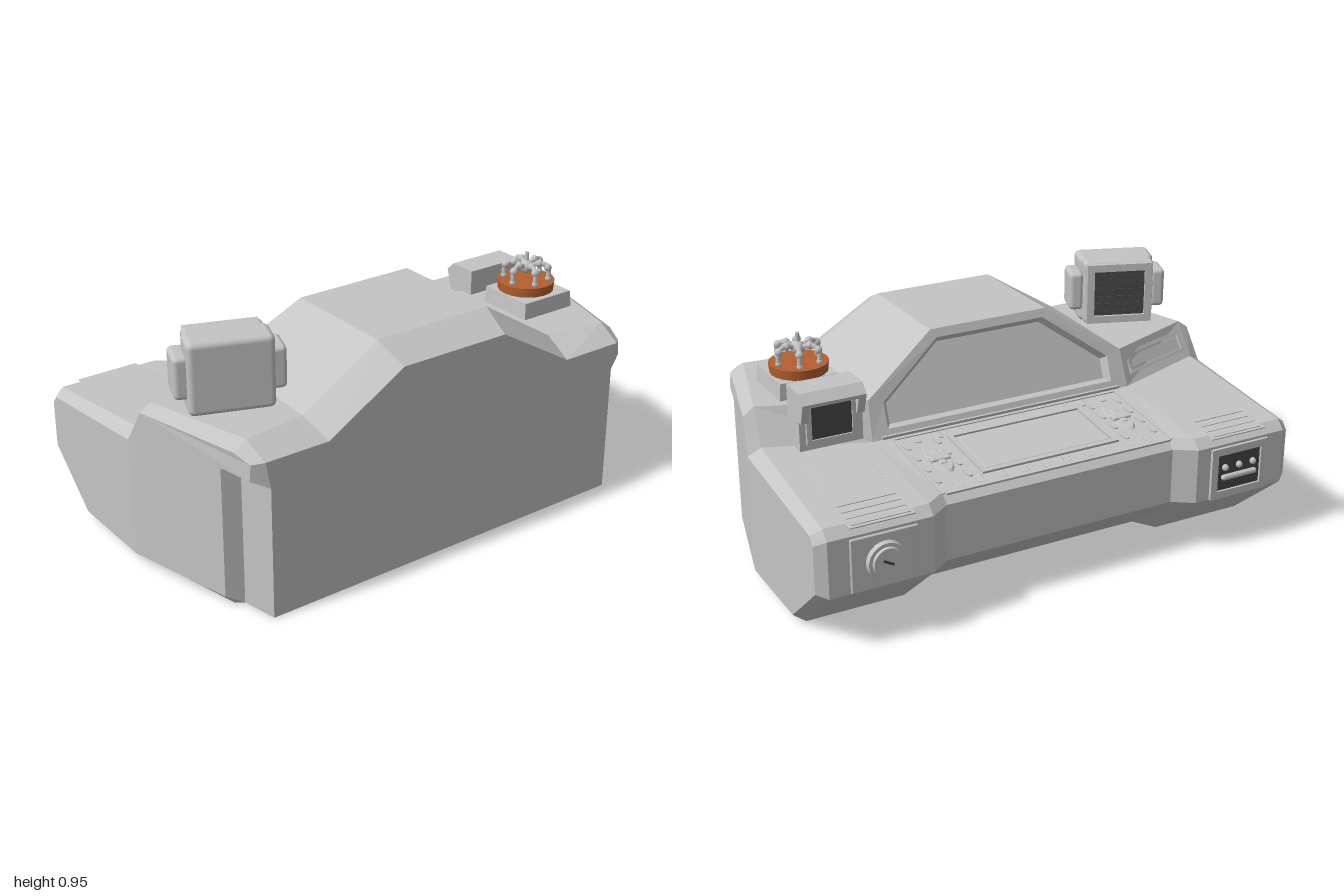
import * as THREE from 'three';
import { RoundedBoxGeometry } from 'three/addons/geometries/RoundedBoxGeometry.js';

const mat = (name, color, extra) => {
  const m = new THREE.MeshStandardMaterial({ color, ...extra });
  m.name = name;
  return m;
};

export function createModel() {
  const root = new THREE.Group();
  root.name = 'controlConsole';
  const grey = mat('hullGrey', 0xc4c4c4, { side: THREE.DoubleSide });
  const dark = mat('screenDark', 0x484848);
  const orange = mat('rustOrange', 0xb5602f);

  const add = (parent, name, geo, m, x = 0, y = 0, z = 0) => {
    const mesh = new THREE.Mesh(geo, m);
    mesh.name = name;
    mesh.position.set(x, y, z);
    parent.add(mesh);
    return mesh;
  };
  const group = (name, x = 0, y = 0, z = 0, parent = root) => {
    const g = new THREE.Group();
    g.name = name;
    g.position.set(x, y, z);
    parent.add(g);
    return g;
  };
  const box = (p, name, m, w, h, d, x, y, z) => add(p, name, new THREE.BoxGeometry(w, h, d), m, x, y, z);
  const soft = (p, name, m, w, h, d, r, x, y, z) => add(p, name, new RoundedBoxGeometry(w, h, d, 2, r), m, x, y, z);
  const outline = pts => pts.map(p => new THREE.Vector2(...p));
  // Rectangular ring, extruded along +z
  const rect = (w, h) => outline([[-w / 2, -h / 2], [w / 2, -h / 2], [w / 2, h / 2], [-w / 2, h / 2]]);
  const rectRing = (w, h, t, depth) => {
    const s = new THREE.Shape(rect(w, h));
    s.holes.push(new THREE.Path(rect(w - 2 * t, h - 2 * t)));
    return new THREE.ExtrudeGeometry(s, { depth, bevelEnabled: false });
  };
  // Side profile given as [-z, y], extruded across x and centred
  const sideProfile = (pts, width) => new THREE.ExtrudeGeometry(new THREE.Shape(outline(pts)), { depth: width, bevelEnabled: false })
    .translate(0, 0, -width / 2).rotateY(Math.PI / 2);

  // ---- Hull: mirrored flat panels, open underneath ----
  const tris = [];
  const center = new THREE.Vector3(0, 0.3, 0);
  const panel = (...pts) => {
    for (const s of [1, -1]) {
      const v = pts.map(p => new THREE.Vector3(p[0] * s, p[1], p[2]));
      for (let i = 1; i < v.length - 1; i++) {
        const t = [v[0], v[i], v[i + 1]];
        const n = t[1].clone().sub(t[0]).cross(t[2].clone().sub(t[0]));
        const mid = t[0].clone().add(t[1]).add(t[2]).divideScalar(3).sub(center);
        if (n.dot(mid) < 0) t.reverse();
        t.forEach(q => tris.push(q.x, q.y, q.z));
      }
    }
  };
  // Outer side edge (a) and inner chamfer edge (b), from the front corner to the lower back
  const a = [[.85, .61, .6], [.872, .635, .53], [.983, .64, .1], [1, .51, .03], [1, .45, -.54], [1, .42, -.565], [1, .235, -.565], [1, .04, -.34]];
  const b = [[.81, .62, .63], [.82, .67, .53], [.94, .67, .1], [.95, .54, .02], [.96, .475, -.56], [.96, .44, -.595], [.96, .22, -.595], [.95, 0, -.34]];
  for (let i = 0; i < 7; i++) panel(a[i], b[i], b[i + 1], a[i + 1]);
  // Desk, back wall and kick slope: columns from pod edge to the centre line
  const col = (x4, x, z, y0) => [[x4, .525, -.1], [x, .475, -.56 + z], [x, .44, -.595 + z], [x, .22, -.595 + z], [x, y0, -.34 + z]];
  const cols = [b.slice(3), col(.56, .56, 0, 0), col(.48, .48, .055, .02), col(0, 0, .055, .02)];
  for (let c = 0; c < 3; c++)
    for (let r = 0; r < 4; r++) panel(cols[c][r], cols[c][r + 1], cols[c + 1][r + 1], cols[c + 1][r]);
  // Shoulders and centre hump
  const sh = [.55, .67, -.05], h1 = [.55, .62, .63], h2 = [.57, .67, .5];
  const g1 = [.23, .81, .63], g2 = [.25, .87, .5], g3 = [.25, .87, .03];
  panel(b[2], sh, h2, b[1]);
  panel(b[1], h2, h1, b[0]);
  panel(b[2], b[3], cols[1][0], sh);
  panel(sh, h2, g2, g3);
  panel(h1, h2, g2, g1);
  panel(g1, g2, [0, .87, .5], [0, .81, .63]);
  panel(g2, g3, [0, .87, .03], [0, .87, .5]);
  // Main screen: bezel, sloped walls and recessed pane on the hump's rear slope
  const onSlope = ([x, v], d) => [x, .525 + v * .935 - d * .352, -.1 + v * .352 + d * .935];
  const rim = [[0, .035], [.49, .035], [.49, .135], [.23, .335], [0, .335]].map(p => onSlope(p, 0));
  const pane = [[0, .05], [.47, .05], [.47, .13], [.222, .32], [0, .32]].map(p => onSlope(p, .025));
  const edge = [[0, .525, -.1], cols[1][0], sh, g3, [0, .87, .03]];
  for (let i = 0; i < 4; i++) {
    panel(edge[i], edge[i + 1], rim[i + 1], rim[i]);
    panel(rim[i], rim[i + 1], pane[i + 1], pane[i]);
  }
  panel(...pane);
  // Front wall with notched lower corners
  const n0 = [.79, 0, .63], n1 = [.79, .515, .63], m0 = [.82, 0, .49], m1 = [.82, .515, .49];
  const k0 = [.888, .04, .47], k1 = [.888, .555, .47], o1 = [.855, .55, .6];
  const kb = [.85, 0, .47], s0 = [1, .04, .03], sb = [.95, 0, .03];
  panel([0, 0, .63], n0, n1, b[0], h1, g1, [0, .81, .63]);
  panel(n1, o1, a[0], b[0]);
  panel(n1, m1, k1, o1);
  panel(n0, m0, m1, n1);
  panel(m0, kb, k0, k1, m1);
  // Side walls and bottom chamfers
  panel(a[2], a[1], a[0], o1, k1, k0, s0, a[3]);
  panel(a[3], s0, a[7], a[6], a[5], a[4]);
  panel(k0, kb, sb, s0);
  panel(s0, sb, b[7], a[7]);
  const hull = new THREE.BufferGeometry();
  hull.setAttribute('position', new THREE.Float32BufferAttribute(tris, 3));
  hull.computeVertexNormals();
  add(root, 'hull', hull, grey);

  // ---- Desk fittings, lying on the sloped desk ----
  const desk = group('desk', 0, .525, -.1);
  desk.rotation.x = -Math.atan(.055 / .46);
  const flatFrame = (name, w, d, t, h, x, z) => {
    add(desk, name, rectRing(w, d, t, h), grey, x, 0, z).rotation.x = -Math.PI / 2;
  };
  flatFrame('keyboardTray', .98, .41, .008, .004, 0, -.22);
  flatFrame('displayFrame', .58, .29, .02, .009, 0, -.215);
  soft(desk, 'displayPlate', grey, .53, .01, .24, .004, 0, .002, -.215);
  box(desk, 'rearRail', grey, .95, .008, .018, 0, .003, -.425);
  box(desk, 'screenLedge', grey, 1.04, .012, .03, 0, .005, .012);
  // Rows of small keys and columns of oval keys
  for (let i = 0; i < 10; i++)
    for (const z of [-.388, -.05]) soft(desk, 'key', grey, .026, .006, .045, .003, -.405 + i * .09, .001, z);
  for (const s of [1, -1]) {
    for (const x of [.335, .46])
      for (let i = 0; i < 4; i++) {
        const k = add(desk, 'ovalKey', new THREE.CylinderGeometry(.015, .015, .006, 12), grey, s * x, .001, -.08 - i * .082);
        k.scale.z = 2;
      }
    // Levers
    const pad = add(desk, 'leverPad', new THREE.CylinderGeometry(.036, .04, .008, 16), grey, s * .39, .003, -.2);
    pad.scale.z = 2.6;
    soft(desk, 'leverGrip', grey, .078, .018, .036, .006, s * .39, .007, -.21);
    soft(desk, 'leverBase', grey, .03, .014, .1, .006, s * .39, .005, -.2);
    // Louvred vents over the pod ends
    flatFrame('ventFrame', .25, .18, .013, .004, s * .75, -.405);
    for (let i = 0; i < 4; i++) {
      const slat = box(desk, 'ventSlat', grey, .225, .006, .04, s * .75, .001, -.34 - i * .041);
      slat.rotation.x = .15;
    }
  }
  soft(desk, 'sidePanel', grey, .23, .006, .2, .002, .74, .001, -.15);

  // Slim display on the right shoulder slope
  const slim = group('shoulderDisplay', -.75, .603, -.004);
  slim.lookAt(-.75 - .22, .603 + .4, -.004 - .7);
  add(slim, 'slimFrame', rectRing(.35, .09, .014, .007), grey);
  box(slim, 'slimPlate', grey, .29, .045, .006, 0, 0, .001);

  // ---- Dial on the left pod ----
  const dial = group('dial', .75, .325, -.595);
  soft(dial, 'dialPlate', grey, .26, .21, .016, .006, 0, 0, 0);
  [[.078, .03, -.01], [.06, .02, -.025], [.02, .012, -.029]].forEach(([r, h, z]) => {
    add(dial, 'dialRing', new THREE.CylinderGeometry(r * .9, r, h, 24), grey, 0, 0, z).rotation.x = -Math.PI / 2;
  });
  box(dial, 'dialPointer', dark, .045, .009, .003, 0, 0, -.035).rotation.z = .5;

  // ---- Socket on the right pod ----
  const socket = group('socket', -.75, .325, -.595);
  socket.rotation.y = Math.PI;
  add(socket, 'socketFrame', rectRing(.26, .21, .03, .012), grey);
  box(socket, 'socketRecess', dark, .2, .15, .004, 0, 0, .001);
  add(socket, 'socketBar', new THREE.CapsuleGeometry(.012, .14, 4, 8), grey, 0, -.02, .01).rotation.z = Math.PI / 2;
  for (const x of [-.065, 0, .065]) add(socket, 'socketPlug', new THREE.SphereGeometry(.014, 8, 6), grey, x, .02, .008);

  // ---- Large monitor on the right shoulder ----
  const mon = group('largeMonitor', -.722, .813, .262);
  mon.rotation.y = -.35;
  soft(mon, 'monitorFront', grey, .31, .275, .13, .022, 0, 0, .035);
  soft(mon, 'monitorBack', grey, .29, .265, .08, .02, 0, 0, -.045);
  add(mon, 'monitorBezel', rectRing(.27, .25, .03, .025), grey, 0, 0, -.1);
  box(mon, 'monitorScreen', dark, .21, .19, .006, 0, 0, -.085);
  for (let i = 0; i < 6; i++) box(mon, 'monitorGrille', dark, .2, .004, .004, 0, -.075 + i * .03, -.089);
  for (const s of [1, -1]) soft(mon, 'monitorEar', grey, .06, .16, .13, .018, s * .17, 0, .01);

  // ---- Small hooded monitor on the left shoulder ----
  const small = group('smallMonitor', .715, 0, 0);
  add(small, 'smallCase', sideProfile([[-.02, .54], [.085, .54], [.085, .77], [-.02, .77]], .25), grey);
  add(small, 'hoodTop', sideProfile([[.085, .735], [.125, .72], [.13, .735], [.095, .77], [.085, .77]], .25), grey);
  for (const s of [1, -1])
    add(small, 'hoodCheek', sideProfile([[.085, .655], [.105, .655], [.13, .735], [.09, .765], [.085, .765]], .03), grey, s * .11);
  const face = group('smallScreen', 0, .645, -.085, small);
  face.rotation.y = Math.PI;
  box(face, 'smallScreenPlate', dark, .16, .13, .006, 0, 0, .003);
  add(face, 'smallScreenFrame', rectRing(.2, .17, .02, .012), grey);

  // ---- Ornament: plinth, dish and jointed figure ----
  const orn = group('ornament', .715, 0, .21);
  const plinth = add(orn, 'plinth', new THREE.CylinderGeometry(.165, .175, .09, 4, 1).toNonIndexed(), grey, 0, .69, .01);
  plinth.rotation.y = Math.PI / 4;
  plinth.geometry.computeVertexNormals();
  add(orn, 'dish', new THREE.CylinderGeometry(.114, .11, .045, 20), orange, 0, .75, -.005);
  const fig = group('figure', 0, .77, -.005, orn);
  add(fig, 'figureCore', new THREE.SphereGeometry(.028, 10, 8), grey, 0, .055, 0);
  add(fig, 'figureTip', new THREE.CylinderGeometry(.008, .01, .05, 8), grey, 0, .09, 0);
  for (let i = 0; i < 6; i++) {
    const arm = group('figureArm', 0, 0, 0, fig);
    arm.rotation.y = i * Math.PI / 3 + .2;
    const pts = [[.015, .055], [.05, .072], [.084, .058], [.088, 0]].map(p => new THREE.Vector3(p[0], p[1], 0));
    add(arm, 'limb', new THREE.TubeGeometry(new THREE.CatmullRomCurve3(pts), 8, .01, 6), grey);
    add(arm, 'joint', new THREE.SphereGeometry(.016, 8, 6), grey, .05, .07, 0);
    add(arm, 'knee', new THREE.SphereGeometry(.016, 8, 6), grey, .084, .056, 0);
    add(arm, 'foot', new THREE.SphereGeometry(.013, 8, 6), grey, .088, .01, 0);
  }
  return root;
}
